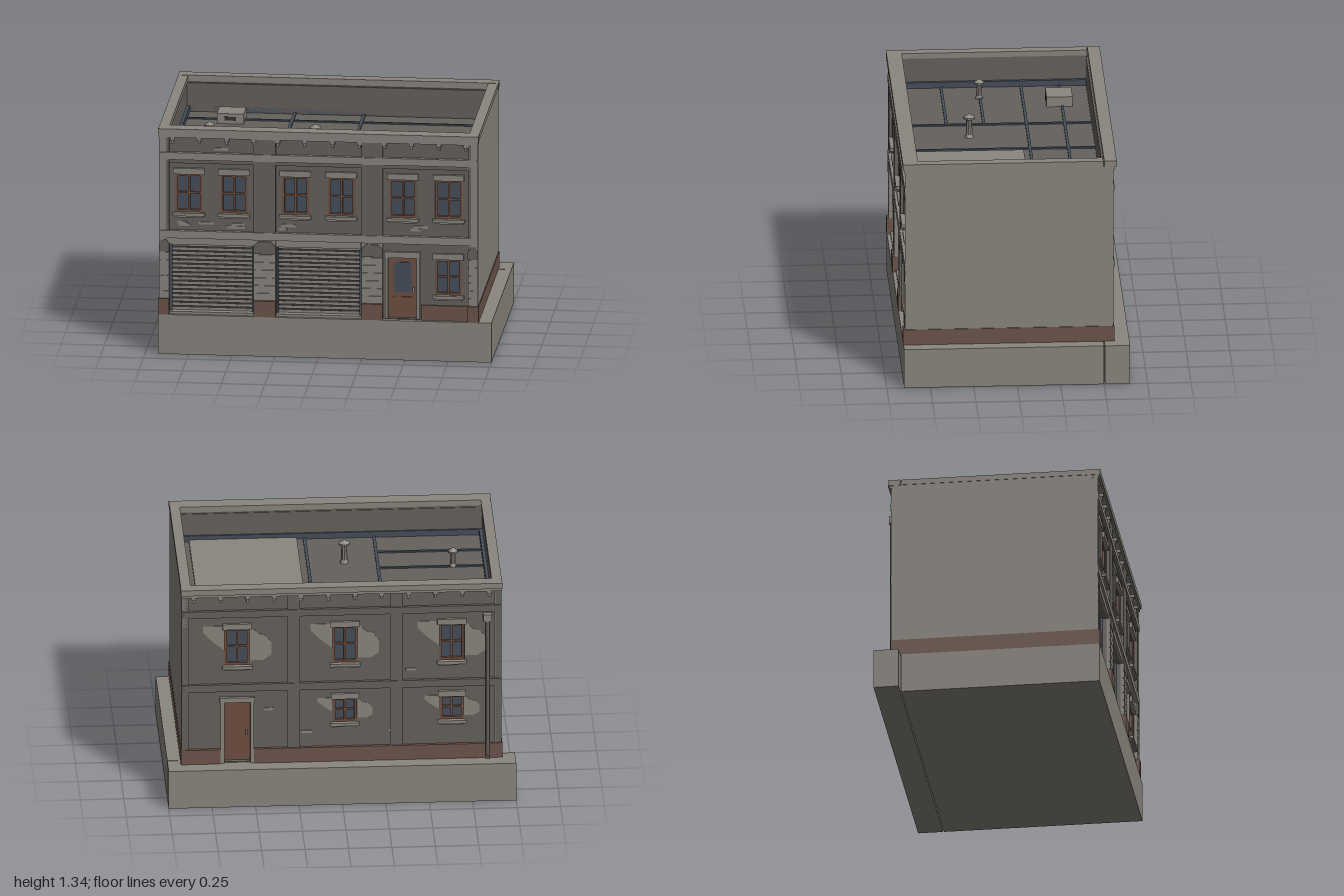
import * as THREE from 'three';

const mat = (name, color, side = THREE.FrontSide) => {
  const m = new THREE.MeshStandardMaterial({ color, side });
  m.name = name;
  return m;
};
const M = {
  stone: mat('pale concrete', 0x8a867f),
  wall: mat('dark render', 0x65615c),
  brick: mat('brick', 0x6c544a),
  wood: mat('brown wood', 0x704f40),
  glass: mat('blue grey glass', 0x454e5a),
  slat: mat('shutter steel', 0x75726a),
  dark: mat('shadow gap', 0x393734),
};

function add(parent, name, geo, m) {
  const mesh = new THREE.Mesh(geo, m);
  mesh.name = name;
  parent.add(mesh);
  return mesh;
}
// Box given by its limits on each axis
function box(parent, name, m, x0, x1, y0, y1, z0, z1) {
  const b = add(parent, name, new THREE.BoxGeometry(x1 - x0, y1 - y0, z1 - z0), m);
  b.position.set((x0 + x1) / 2, (y0 + y1) / 2, (z0 + z1) / 2);
  return b;
}
function plate(parent, name, m, pts, z, depth) {
  const shape = new THREE.Shape(pts.map(p => new THREE.Vector2(p[0], p[1])));
  const p = add(parent, name, new THREE.ExtrudeGeometry(shape, { depth, bevelEnabled: false }), m);
  p.position.z = z;
  return p;
}
// Wall sheet pierced by rectangular openings [x0, x1, y0, y1]; outer face at z = 0
function piercedWall(parent, openings, thickness) {
  const rect = (P, [a, b, c, d]) => {
    const p = new P();
    p.moveTo(a, c); p.lineTo(b, c); p.lineTo(b, d); p.lineTo(a, d); p.closePath();
    return p;
  };
  const shape = rect(THREE.Shape, [-0.92, 0.92, 0.235, 1.3]);
  openings.forEach(o => shape.holes.push(rect(THREE.Path, o)));
  const geo = new THREE.ExtrudeGeometry(shape, { depth: thickness, bevelEnabled: false });
  geo.translate(0, 0, -thickness);
  add(parent, 'facadeWall', geo, M.wall);
}
// Sash window with frame, glazing bars, lintel and sill
function windowUnit(parent, [x0, x1, y0, y1]) {
  const g = new THREE.Group();
  g.name = 'window';
  parent.add(g);
  const t = 0.014, cx = (x0 + x1) / 2, cy = (y0 + y1) / 2;
  box(g, 'glass', M.glass, x0, x1, y0, y1, -0.04, -0.022);
  for (const x of [x0, x1 - t]) box(g, 'frameSide', M.wood, x, x + t, y0, y1, -0.03, -0.006);
  for (const y of [y0, y1 - t]) box(g, 'frameRail', M.wood, x0, x1, y, y + t, -0.03, -0.006);
  box(g, 'verticalBar', M.wood, cx - 0.006, cx + 0.006, y0, y1, -0.03, -0.01);
  box(g, 'horizontalBar', M.wood, x0, x1, cy - 0.005, cy + 0.005, -0.03, -0.012);
  box(g, 'lintel', M.stone, x0 - 0.012, x1 + 0.012, y1, y1 + 0.035, -0.01, 0.016);
  box(g, 'sill', M.stone, x0 - 0.015, x1 + 0.015, y0 - 0.018, y0, -0.02, 0.022);
  box(g, 'sillBase', M.stone, x0 - 0.004, x1 + 0.004, y0 - 0.028, y0 - 0.018, -0.02, 0.012);
}
function bracket(parent, x, z) {
  box(parent, 'bracketHead', M.stone, x - 0.013, x + 0.013, 1.272, 1.292, 0, z);
  box(parent, 'bracketFoot', M.stone, x - 0.007, x + 0.007, 1.252, 1.272, 0, z * 0.6);
}

function buildFront(root) {
  const f = new THREE.Group();
  f.name = 'frontFacade';
  f.position.z = 0.62;
  root.add(f);
  const windows = [-0.75, -0.49, -0.135, 0.13, 0.485, 0.75].map(x => [x - 0.078, x + 0.078, 0.84, 1.07]);
  windows.push([0.67, 0.825, 0.385, 0.6]);
  const shutters = [[-0.86, -0.375, 0.245, 0.65], [-0.245, 0.245, 0.245, 0.65]];
  const door = [0.4, 0.565, 0.24, 0.605];
  piercedWall(f, [...windows, ...shutters, door], 0.06);
  windows.forEach(w => windowUnit(f, w));

  // Roller shutters made of sloping slats
  for (const [x0, x1, y0, y1] of shutters) {
    box(f, 'shutterBacking', M.dark, x0, x1, y0, y1, -0.058, -0.045);
    const n = 16, step = (y1 - y0) / n;
    for (let i = 0; i < n; i++) {
      const s = box(f, 'shutterSlat', M.slat, x0 + 0.012, x1 - 0.012,
        y0 + i * step + 0.002, y0 + (i + 0.68) * step, -0.045, -0.035);
      s.rotation.x = -0.25;
    }
    for (const x of [x0, x1 - 0.012]) box(f, 'shutterRail', M.glass, x, x + 0.012, y0, y1, -0.05, -0.02);
    box(f, 'shutterLintel', M.stone, x0, x1, y1, y1 + 0.045, 0, 0.012);
    box(f, 'threshold', M.stone, x0, x1, 0.235, 0.25, -0.05, 0.01);
  }

  // Entrance door
  const [dx0, dx1, dy0, dy1] = door;
  box(f, 'doorLeaf', M.wood, dx0, dx1, dy0, dy1, -0.05, -0.025);
  box(f, 'doorGlass', M.glass, dx0 + 0.032, dx1 - 0.032, 0.39, 0.57, -0.025, -0.02);
  box(f, 'doorPanel', M.wood, dx0 + 0.03, dx1 - 0.03, 0.265, 0.365, -0.025, -0.018);
  box(f, 'doorHandle', M.stone, 0.541, 0.551, 0.385, 0.425, -0.025, -0.008);
  for (const x of [dx0 - 0.018, dx1]) box(f, 'doorJamb', M.stone, x, x + 0.018, dy0, dy1, -0.02, 0.012);
  box(f, 'doorHead', M.stone, dx0 - 0.022, dx1 + 0.022, dy1, dy1 + 0.035, -0.02, 0.018);
  box(f, 'brickPlinth', M.brick, 0.59, 0.862, 0.235, 0.325, 0, 0.01);

  // Piers: brick foot, stone courses, shaped head, plain pilaster above
  for (const [x0, x1] of [[-0.92, -0.862], [-0.375, -0.248], [0.248, 0.37], [0.862, 0.92]]) {
    box(f, 'pierBrick', M.brick, x0, x1, 0.235, 0.33, 0, 0.032);
    box(f, 'pierCore', M.stone, x0, x1, 0.33, 0.69, 0, 0.015);
    for (let i = 0; i < 6; i++) {
      box(f, 'pierCourse', M.stone, x0, x1, 0.332 + i * 0.046, 0.374 + i * 0.046, 0, 0.022);
    }
    const c = Math.min(0.028, (x1 - x0) / 3);
    plate(f, 'pierHead', M.wall, [[x0, 0.608], [x1, 0.608], [x1, 0.655], [x1 - c, 0.682], [x0 + c, 0.682], [x0, 0.655]], 0.015, 0.009);
    box(f, 'pilaster', M.wall, x0, x1, 0.735, 1.16, 0, 0.018);
    box(f, 'friezePilaster', M.wall, x0, x1, 1.2, 1.29, 0, 0.018);
  }
  box(f, 'panelTop', M.wall, -0.92, 0.92, 1.135, 1.16, 0, 0.012);

  // Horizontal mouldings and cap
  box(f, 'floorBand', M.stone, -0.92, 0.92, 0.69, 0.735, 0, 0.024);
  box(f, 'cornice', M.stone, -0.92, 0.92, 1.158, 1.2, 0, 0.024);
  box(f, 'capUnderside', M.stone, -0.922, 0.922, 1.29, 1.312, -0.04, 0.026);
  for (const s of [-0.61, 0, 0.615]) {
    for (const d of [-0.235, -0.08, 0.08, 0.235]) bracket(f, s + d, 0.024);
  }

  // Patches where the render has come away: [x, y, width]
  for (const [x, y, w] of [[-0.565, 1.222, 0.08], [-0.78, 0.768, 0.06], [-0.79, 0.782, 0.05], [-0.65, 0.779, 0.085],
    [-0.48, 0.758, 0.11], [-0.465, 0.775, 0.07], [-0.21, 0.757, 0.05], [-0.175, 0.776, 0.085], [0.56, 0.772, 0.06], [0.59, 0.789, 0.08]]) {
    box(f, 'renderPatch', M.stone, x - w / 2, x + w / 2, y - 0.008, y + 0.008, 0, 0.006);
  }
}

function buildBack(root) {
  // Turned about y, so local x runs opposite to the model's x
  const b = new THREE.Group();
  b.name = 'backFacade';
  b.position.z = -0.545;
  b.rotation.y = Math.PI;
  root.add(b);
  const cx = [-0.6, 0.02, 0.635];
  const upper = cx.map(x => [x - 0.072, x + 0.072, 0.85, 1.08]);
  const lower = cx.slice(1).map(x => [x - 0.068, x + 0.068, 0.475, 0.625]);
  const door = [-0.675, -0.525, 0.24, 0.62];
  piercedWall(b, [...upper, ...lower, door], 0.05);
  [...upper, ...lower].forEach(w => windowUnit(b, w));

  box(b, 'backDoor', M.wood, door[0], door[1], door[2], door[3], -0.045, -0.025);
  box(b, 'backDoorHandle', M.stone, -0.55, -0.54, 0.4, 0.43, -0.025, -0.01);
  for (const x of [door[0] - 0.022, door[1]]) box(b, 'backDoorJamb', M.stone, x, x + 0.022, 0.235, door[3], -0.02, 0.014);
  box(b, 'backDoorHead', M.stone, door[0] - 0.026, door[1] + 0.026, door[3], door[3] + 0.03, -0.02, 0.018);
  box(b, 'backPlinth', M.brick, -0.922, door[0] - 0.022, 0.235, 0.325, 0, 0.018);
  box(b, 'backPlinth', M.brick, door[1] + 0.022, 0.922, 0.235, 0.325, 0, 0.018);

  // Bare patches beside the windows, one high and one low
  const patches = (x, y0, y1, w, reach) => {
    const h = y1 - y0, l = x - w, r = x + w;
    plate(b, 'barePatch', M.stone, [[l, y0 + h * 0.3], [l, y1], [l - reach, y1], [l - reach, y1 - h * 0.18], [l - reach * 0.55, y0 + h * 0.55]], 0, 0.003);
    plate(b, 'barePatch', M.stone, [[r, y0], [r + reach * 0.6, y0], [r + reach, y0 + h * 0.15], [r + reach, y0 + h * 0.5],
      [r + reach * 0.7, y0 + h * 0.72], [r + reach * 0.4, y0 + h * 0.76], [r, y1]], 0, 0.003);
  };
  cx.forEach(x => patches(x, 0.88, 1.1, 0.072, 0.125));
  cx.slice(1).forEach(x => patches(x, 0.5, 0.63, 0.068, 0.09));
  for (const [x, y] of [[-0.42, 0.57], [0.3, 0.42], [-0.2, 0.42], [0.4, 0.8]]) {
    box(b, 'renderPatch', M.stone, x - 0.03, x + 0.03, y - 0.008, y + 0.008, 0, 0.006);
  }

  for (const [x0, x1] of [[-0.92, -0.885], [-0.31, -0.24], [0.28, 0.35], [0.885, 0.92]]) {
    box(b, 'backPilaster', M.wall, x0, x1, 0.325, 1.29, 0, 0.013);
  }
  box(b, 'backFloorBand', M.wall, -0.92, 0.92, 0.69, 0.735, 0, 0.018);
  box(b, 'backCornice', M.wall, -0.92, 0.92, 1.158, 1.2, 0, 0.018);
  box(b, 'backCapUnderside', M.stone, -0.922, 0.922, 1.29, 1.312, -0.03, 0.022);
  for (let i = 0; i < 12; i++) bracket(b, -0.85 + i * 0.1545, 0.02);

  // Rainwater pipe and hopper
  const pipe = add(b, 'drainPipe', new THREE.CylinderGeometry(0.011, 0.011, 0.87, 8), M.wall);
  pipe.position.set(0.84, 0.685, 0.02);
  box(b, 'drainHopper', M.stone, 0.815, 0.865, 1.1, 1.145, 0, 0.033);
  box(b, 'drainShoe', M.wall, 0.828, 0.852, 0.237, 0.255, 0, 0.038);
}

function buildRoof(root) {
  const r = new THREE.Group();
  r.name = 'roof';
  root.add(r);
  const y = 1.13;
  // Flashing around the foot of the parapet
  for (const [a, c, d, e] of [[-0.875, -0.855, -0.51, 0.57], [0.855, 0.875, -0.51, 0.57], [-0.875, 0.875, -0.515, -0.495], [-0.875, 0.875, 0.55, 0.57]]) {
    box(r, 'flashing', M.glass, a, c, y, y + 0.035, d, e);
  }
  // Seams between roofing sheets
  for (const x of [-0.25, 0.15]) box(r, 'seam', M.glass, x - 0.009, x + 0.009, y, y + 0.008, -0.5, 0.55);
  for (const [z, x1] of [[-0.34, 0.86], [-0.12, 0.86], [0.125, -0.25], [0.34, -0.25]]) {
    box(r, 'seam', M.glass, -0.86, x1, y, y + 0.008, z - 0.008, z + 0.008);
  }
  box(r, 'roofPatch', M.stone, 0.195, 0.815, y, y + 0.014, -0.08, 0.545);
  box(r, 'roofHatch', M.stone, -0.675, -0.52, y, y + 0.06, -0.4, -0.25);
  box(r, 'hatchGrille', M.dark, -0.63, -0.565, y + 0.02, y + 0.042, -0.25, -0.246);
  // Vent pipes with conical caps
  for (const [x, z, h, rad] of [[-0.68, 0.13, 0.12, 0.029], [-0.06, 0.22, 0.145, 0.034]]) {
    const profile = [[0, 0], [rad * 0.75, 0], [rad * 0.55, 0.02], [rad * 0.5, h - 0.03], [rad, h - 0.03], [rad, h - 0.02], [0, h]];
    const geo = new THREE.LatheGeometry(profile.map(p => new THREE.Vector2(p[0], p[1])), 10).toNonIndexed();
    geo.computeVertexNormals();
    add(r, 'ventPipe', geo, M.stone).position.set(x, y, z);
  }
}

export function createModel() {
  const root = new THREE.Group();
  root.name = 'building';

  // Pavement slabs
  box(root, 'pavement', M.stone, -0.925, 1, 0, 0.235, -0.5, 0.65);
  box(root, 'rearPavement', M.stone, -1, 1, 0, 0.235, -0.65, -0.505);

  // Body, side walls and parapet
  box(root, 'body', M.wall, -0.88, 0.88, 0.235, 1.13, -0.51, 0.57);
  for (const s of [-1, 1]) {
    const lim = (a, b) => (s > 0 ? [a, b] : [-b, -a]);
    box(root, 'sideWall', M.stone, ...lim(0.88, 0.921), 0.235, 1.31, -0.558, 0.64);
    box(root, 'parapetLining', M.wall, ...lim(0.873, 0.88), 1.13, 1.31, -0.51, 0.57);
    box(root, 'sideBrick', M.brick, ...lim(0.9, 0.925), 0.235, 0.328, -0.562, 0.652);
    box(root, 'sideCap', M.stone, ...lim(0.866, 0.924), 1.31, 1.342, -0.5, 0.57);
  }
  box(root, 'frontParapet', M.wall, -0.88, 0.88, 1.13, 1.31, 0.565, 0.6);
  box(root, 'backParapet', M.wall, -0.88, 0.88, 1.13, 1.31, -0.53, -0.51);
  box(root, 'frontCap', M.stone, -0.925, 0.925, 1.308, 1.343, 0.565, 0.653);
  box(root, 'backCap', M.stone, -0.925, 0.925, 1.308, 1.343, -0.577, -0.505);

  buildFront(root);
  buildBack(root);
  buildRoof(root);
  return root;
}
